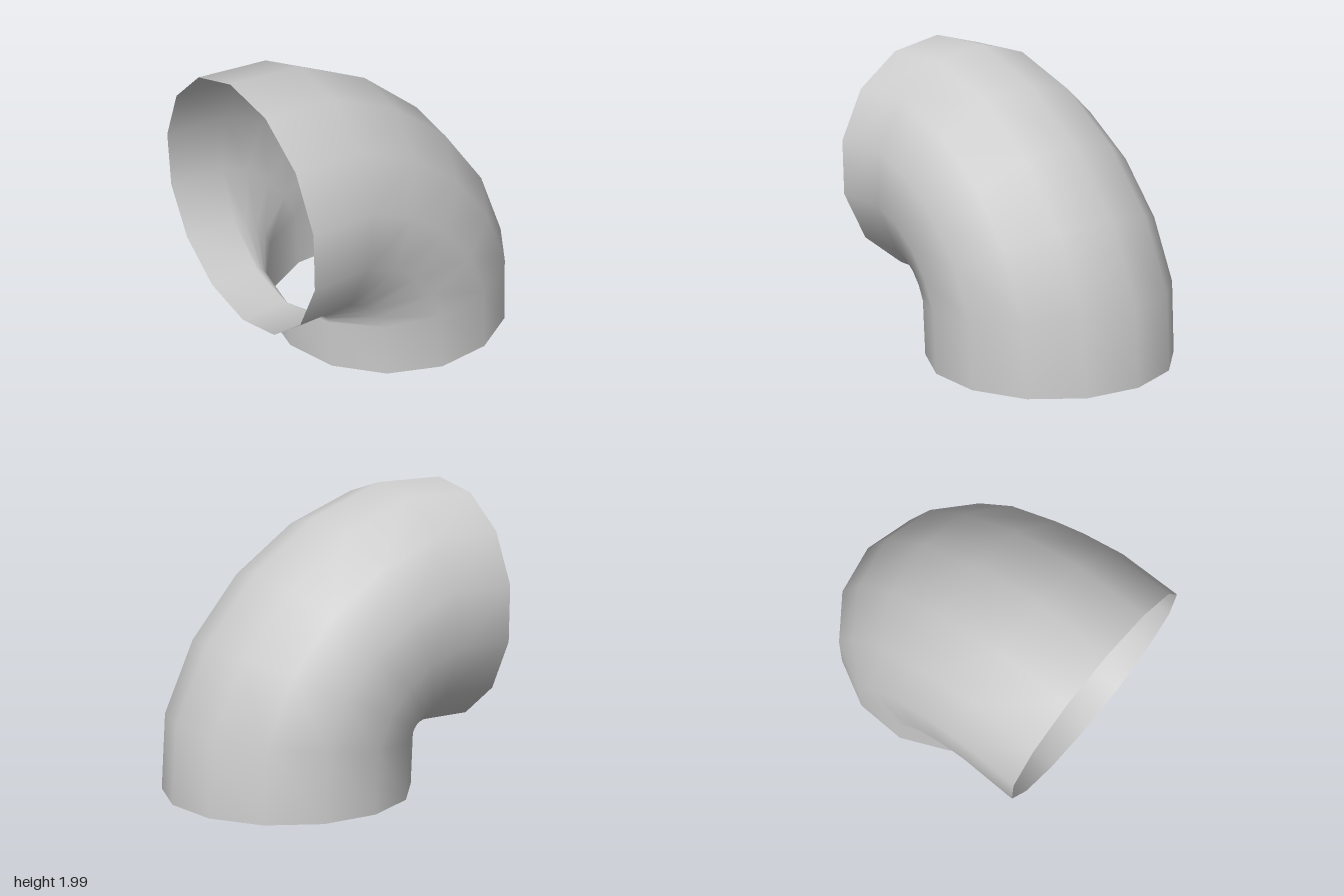
import * as THREE from 'three';

// Outer and inner edge points [x, y] of each ring, from the side mouth to the bottom mouth
const RINGS = [
  [[-1, 1.99], [-1, 0.35]],
  [[-0.51, 1.97], [-0.665, 0.345]],
  [[-0.02, 1.76], [-0.66, 0.343]],
  [[0.41, 1.43], [-0.658, 0.341]],
  [[0.75, 1.0], [-0.657, 0.338]],
  [[0.965, 0.51], [-0.655, 0.333]],
  [[1, 0], [-0.645, 0]],
];
const SIDES = 14;
const HALF_DEPTH = 0.82;

// Loft of 14-sided rings, fanned around the tight inner corner
function elbowGeometry() {
  const positions = [];
  const index = [];
  RINGS.forEach(([outer, inner], i) => {
    for (let j = 0; j < SIDES; j++) {
      const a = (j / SIDES) * Math.PI * 2;
      const k = (1 - Math.cos(a)) / 2;
      positions.push(
        THREE.MathUtils.lerp(outer[0], inner[0], k),
        THREE.MathUtils.lerp(outer[1], inner[1], k),
        Math.sin(a) * HALF_DEPTH,
      );
      if (i < RINGS.length - 1) {
        const p = i * SIDES + j;
        const q = i * SIDES + ((j + 1) % SIDES);
        index.push(p, q, p + SIDES, q, q + SIDES, p + SIDES);
      }
    }
  });
  const geometry = new THREE.BufferGeometry();
  geometry.setAttribute('position', new THREE.Float32BufferAttribute(positions, 3));
  geometry.setIndex(index);
  geometry.computeVertexNormals();
  return geometry;
}

export function createModel() {
  const group = new THREE.Group();
  group.name = 'pipeElbow';
  // Open thin-walled pipe bend
  const material = new THREE.MeshStandardMaterial({ color: 0xcccccc, side: THREE.DoubleSide });
  const bend = new THREE.Mesh(elbowGeometry(), material);
  bend.name = 'pipeBend';
  group.add(bend);
  return group;
}
